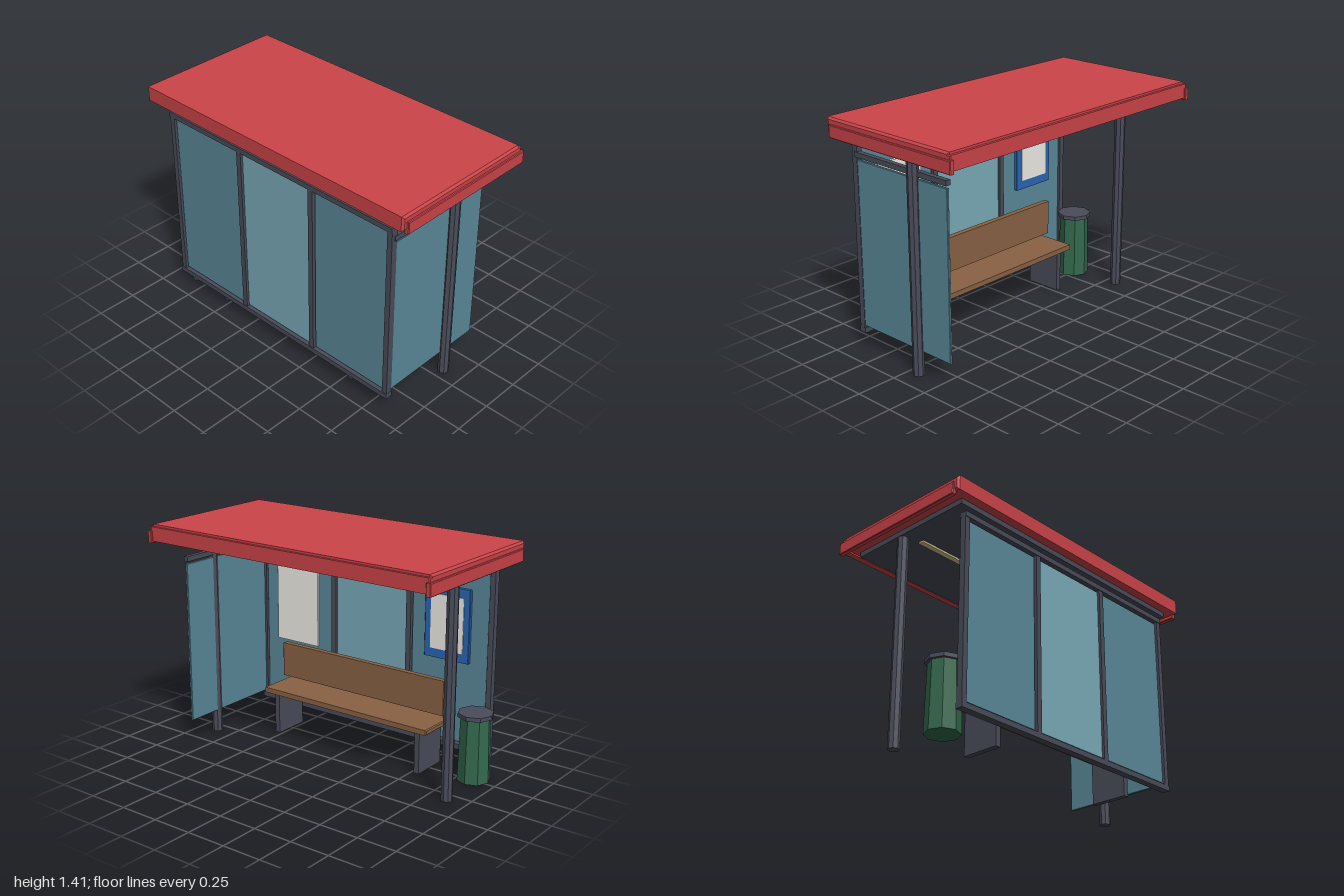
import * as THREE from 'three';

const mat = (color) => new THREE.MeshStandardMaterial({ color, flatShading: true });

export function createModel() {
  const model = new THREE.Group();
  const red = mat(0xcc4449), steel = mat(0x4a4d5a), glass = mat(0x5b8a9a), paleGlass = mat(0x7bacba);
  const wood = mat(0x8a6244), green = mat(0x33694d), blue = mat(0x2a66b8);
  const paper = mat(0xf0eee6), lamp = mat(0xd8c890);

  const add = (name, geometry, material, parent = model) => {
    const mesh = new THREE.Mesh(geometry, material);
    mesh.name = name;
    parent.add(mesh);
    return mesh;
  };
  // box given by its limits on each axis, with optional chamfered edges
  const block = (name, material, [x0, x1], [y0, y1], [z0, z1], bevel = 0, parent = model) => {
    const w = x1 - x0, h = y1 - y0, d = z1 - z0;
    let geometry;
    if (bevel) {
      const a = w / 2 - bevel, b = h / 2 - bevel;
      const outline = new THREE.Shape([[-a, -b], [a, -b], [a, b], [-a, b]].map((p) => new THREE.Vector2(...p)));
      geometry = new THREE.ExtrudeGeometry(outline, {
        depth: d - 2 * bevel, bevelEnabled: true, bevelSize: bevel, bevelThickness: bevel, bevelSegments: 1,
      });
      geometry.center();
    } else {
      geometry = new THREE.BoxGeometry(w, h, d);
    }
    add(name, geometry, material, parent).position.set((x0 + x1) / 2, (y0 + y1) / 2, (z0 + z1) / 2);
  };
  const group = (name) => {
    const g = new THREE.Group();
    g.name = name;
    model.add(g);
    return g;
  };

  // roof with edge boards, ceiling and strip light
  const roof = group('roof');
  block('roofSlab', red, [-0.492, 0.462], [1.32, 1.41], [-0.987, 0.987], 0.012, roof);
  block('frontFascia', red, [0.44, 0.478], [1.31, 1.397], [-0.987, 0.987], 0.005, roof);
  for (const s of [-1, 1]) {
    block('endFascia', red, [-0.462, 0.489], [1.298, 1.373], [s * 0.985 - 0.015, s * 0.985 + 0.015], 0.004, roof);
  }
  block('ceiling', steel, [-0.438, 0.406], [1.288, 1.33], [-0.908, 0.908], 0, roof);
  block('stripLight', lamp, [-0.005, 0.03], [1.276, 1.29], [-0.788, 0.788], 0, roof);

  // roof posts
  for (const s of [-1, 1]) {
    add('roofPost', new THREE.CylinderGeometry(0.034, 0.034, 1.3, 8), steel).position.set(0.07, 0.65, s * 0.875);
  }

  // back wall: rails, uprights and three panes
  const wall = group('backWall');
  for (const [y0, y1] of [[0.1, 0.133], [1.228, 1.26]]) {
    block('rail', steel, [-0.435, -0.388], [y0, y1], [-0.87, 0.87], 0, wall);
  }
  for (const z of [-0.852, -0.282, 0.282, 0.852]) {
    block('upright', steel, [-0.431, -0.392], [0.13, 1.23], [z - 0.017, z + 0.017], 0, wall);
  }
  for (const i of [-1, 0, 1]) {
    const z = i * 0.568;
    block('pane', i ? glass : paleGlass, [-0.419, -0.403], [0.145, 1.215], [z - 0.263, z + 0.263], 0.003, wall);
  }

  // end screen
  block('endPane', glass, [-0.408, 0.321], [0.145, 1.157], [0.85, 0.866], 0.003);
  block('endRail', steel, [-0.411, 0.322], [1.172, 1.203], [0.842, 0.874]);

  // notice boards on the wall
  block('noticeBoard', paper, [-0.404, -0.385], [0.54, 1.1], [0.402, 0.735], 0.003);
  block('timetableFrame', blue, [-0.404, -0.38], [0.652, 1.1], [-0.716, -0.407], 0.004);
  block('timetablePaper', paper, [-0.39, -0.376], [0.708, 1.045], [-0.675, -0.45]);

  // bench
  const bench = group('bench');
  block('seat', wood, [-0.38, -0.1], [0.268, 0.301], [-0.615, 0.615], 0.006, bench);
  block('backrest', wood, [-0.325, -0.288], [0.332, 0.552], [-0.615, 0.615], 0.006, bench);
  for (const s of [-1, 1]) {
    block('benchLeg', steel, [-0.365, -0.13], [0, 0.27], [s * 0.535 - 0.017, s * 0.535 + 0.017], 0, bench);
  }

  // litter bin
  const bin = group('litterBin');
  bin.position.set(-0.27, 0, -0.845);
  add('binBody', new THREE.CylinderGeometry(0.09, 0.1, 0.4, 8), green, bin).position.y = 0.2;
  add('binLid', new THREE.CylinderGeometry(0.107, 0.107, 0.025, 8), steel, bin).position.y = 0.408;

  return model;
}
